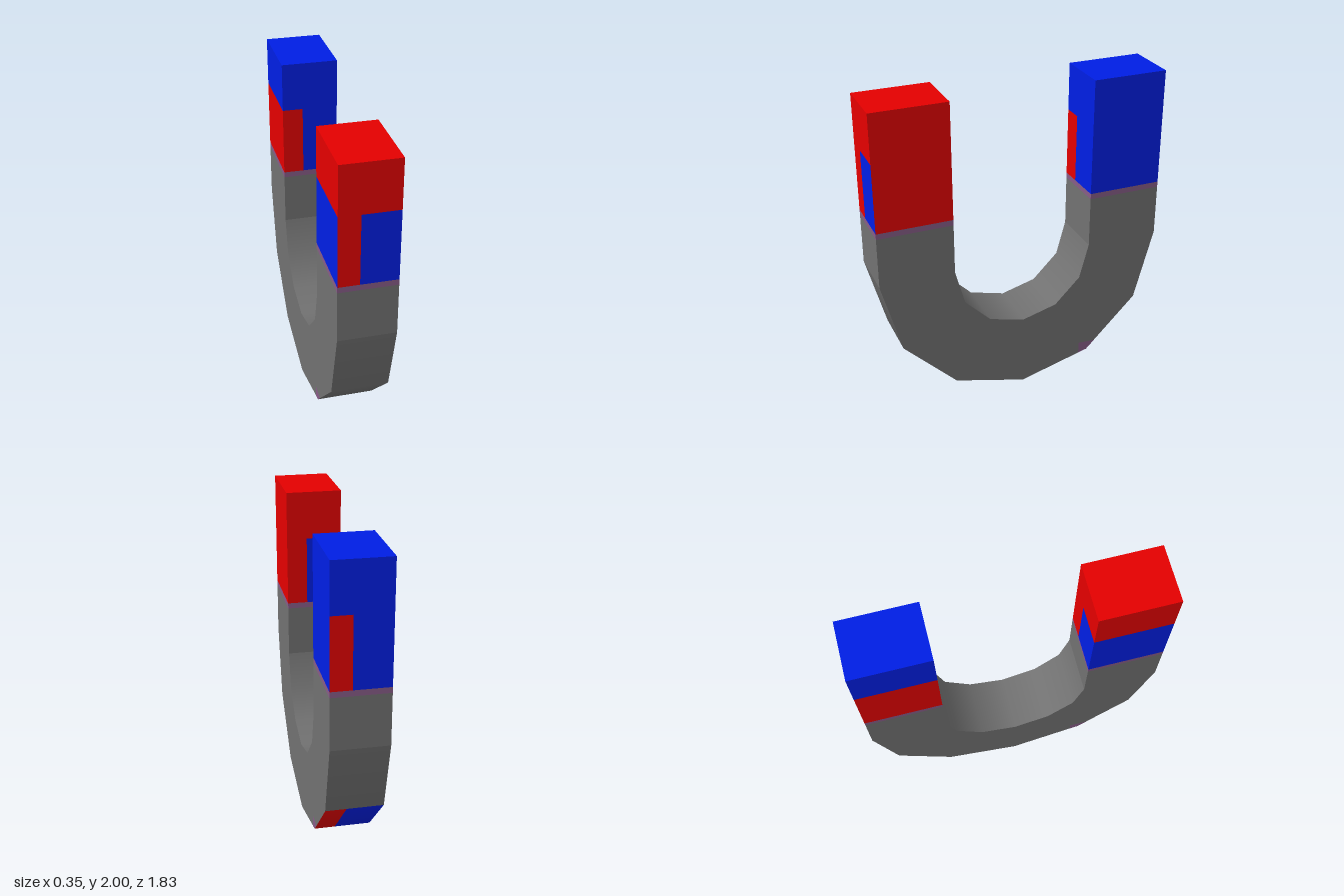
import * as THREE from 'three';

const HALF = 0.173;              // half thickness along x
const OUTER = 0.915, INNER = 0.447, CENTRE = 0.915;
const BAND = 1.235, TIP = 1.27, PATCH = 1.7, TOP = 2;
const SPLIT = 0.047;             // where the pole paint changes across x
const LEG = (OUTER + INNER) / 2, DEPTH = OUTER - INNER;
const STEPS = 6, STEP = Math.PI / STEPS;

const mat = (name, color) => {
  const m = new THREE.MeshStandardMaterial({ color });
  m.name = name;
  return m;
};

// Curved wall of the bend between facets i0 and i1, facing out or in
function bendWall(r, i0, i1, x0, x1, outward) {
  const pos = [], nor = [], index = [], s = outward ? 1 : -1;
  for (let i = i0; i <= i1; i++) {
    const a = i * STEP;
    // the ends keep their facet normal so the straight legs stay crisp
    const n = THREE.MathUtils.clamp(i, 0.5, STEPS - 0.5) * STEP;
    for (const x of [x0, x1]) {
      pos.push(x, CENTRE - r * Math.sin(a), r * Math.cos(a));
      nor.push(0, -s * Math.sin(n), s * Math.cos(n));
    }
    if (i < i1) {
      const k = (i - i0) * 2;
      if (outward) index.push(k, k + 3, k + 1, k, k + 2, k + 3);
      else index.push(k, k + 1, k + 3, k, k + 3, k + 2);
    }
  }
  const g = new THREE.BufferGeometry();
  g.setAttribute('position', new THREE.Float32BufferAttribute(pos, 3));
  g.setAttribute('normal', new THREE.Float32BufferAttribute(nor, 3));
  g.setIndex(index);
  return g;
}

export function createModel() {
  const model = new THREE.Group();
  model.name = 'horseshoeMagnet';
  const red = mat('red', 0xe40000);
  const blue = mat('blue', 0x001ee4);
  const grey = mat('steelGrey', 0x717171);
  const purple = mat('purpleEdge', 0x875c87);

  const add = (name, geometry, material) => {
    const mesh = new THREE.Mesh(geometry, material);
    mesh.name = name;
    model.add(mesh);
    return mesh;
  };
  // Full-width block of a leg between two heights
  const block = (name, m, y0, y1, z) =>
    add(name, new THREE.BoxGeometry(2 * HALF, y1 - y0, DEPTH), m).position.set(0, (y0 + y1) / 2, z);
  // Upright painted face of a pole's lower part, turned about y
  const panel = (name, m, width, x, z, turn) => {
    const mesh = add(name, new THREE.PlaneGeometry(width, PATCH - TIP), m);
    mesh.position.set(x, (TIP + PATCH) / 2, z);
    mesh.rotation.y = turn;
  };

  // Two legs: steel shaft, thin band and painted pole
  for (const [side, s, paint, other] of [['front', 1, red, blue], ['back', -1, blue, red]]) {
    const z = s * LEG;
    block(side + 'Shaft', grey, CENTRE, BAND, z);
    block(side + 'Band', purple, BAND, TIP, z);
    block(side + 'PoleTop', paint, PATCH, TOP, z);

    // Lower pole: plain sides, and faces split into a narrow red and a wide blue panel
    panel(side + 'PoleLeft', paint, DEPTH, HALF, z, Math.PI / 2);
    panel(side + 'PoleRight', other, DEPTH, -HALF, z, -Math.PI / 2);
    for (const [face, f, turn] of [['Forward', 1, 0], ['Rear', -1, Math.PI]]) {
      const zf = z + f * DEPTH / 2;
      panel(side + face + 'Red', red, HALF - SPLIT, -f * (HALF + SPLIT) / 2, zf, turn);
      panel(side + face + 'Blue', blue, HALF + SPLIT, f * (HALF - SPLIT) / 2, zf, turn);
    }
  }

  // Bend: inner and outer walls, with one two-coloured facet low on the back
  add('bendInner', bendWall(INNER, 0, 6, -HALF, HALF, false), grey);
  add('bendOuterFront', bendWall(OUTER, 0, 4, -HALF, HALF, true), grey);
  add('bendFacetRed', bendWall(OUTER, 4, 5, SPLIT, HALF, true), red);
  add('bendFacetBlue', bendWall(OUTER, 4, 5, -HALF, SPLIT, true), blue);
  add('bendOuterBack', bendWall(OUTER, 5, 6, -HALF, HALF, true), grey);

  // Flat sides of the bend
  const arc = (r) => Array.from({ length: STEPS + 1 }, (_, i) =>
    new THREE.Vector2(r * Math.cos(i * STEP), CENTRE - r * Math.sin(i * STEP)));
  const bendShape = new THREE.Shape([...arc(OUTER), ...arc(INNER).reverse()]);
  const cornerShape = new THREE.Shape([[0.4, 0.108], [0.457, 0.123], [0.515, 0.18], [0.4, 0.185]]
    .map(([x, y]) => new THREE.Vector2(x, y)));
  for (const [side, s] of [['left', 1], ['right', -1]]) {
    const flat = (shape, x) => new THREE.ShapeGeometry(shape).rotateY(s * Math.PI / 2).translate(s * x, 0, 0);
    add(side + 'BendSide', flat(bendShape, HALF), grey);
    add(side + 'CornerMark', flat(cornerShape, HALF + 0.001), purple);
  }
  return model;
}
